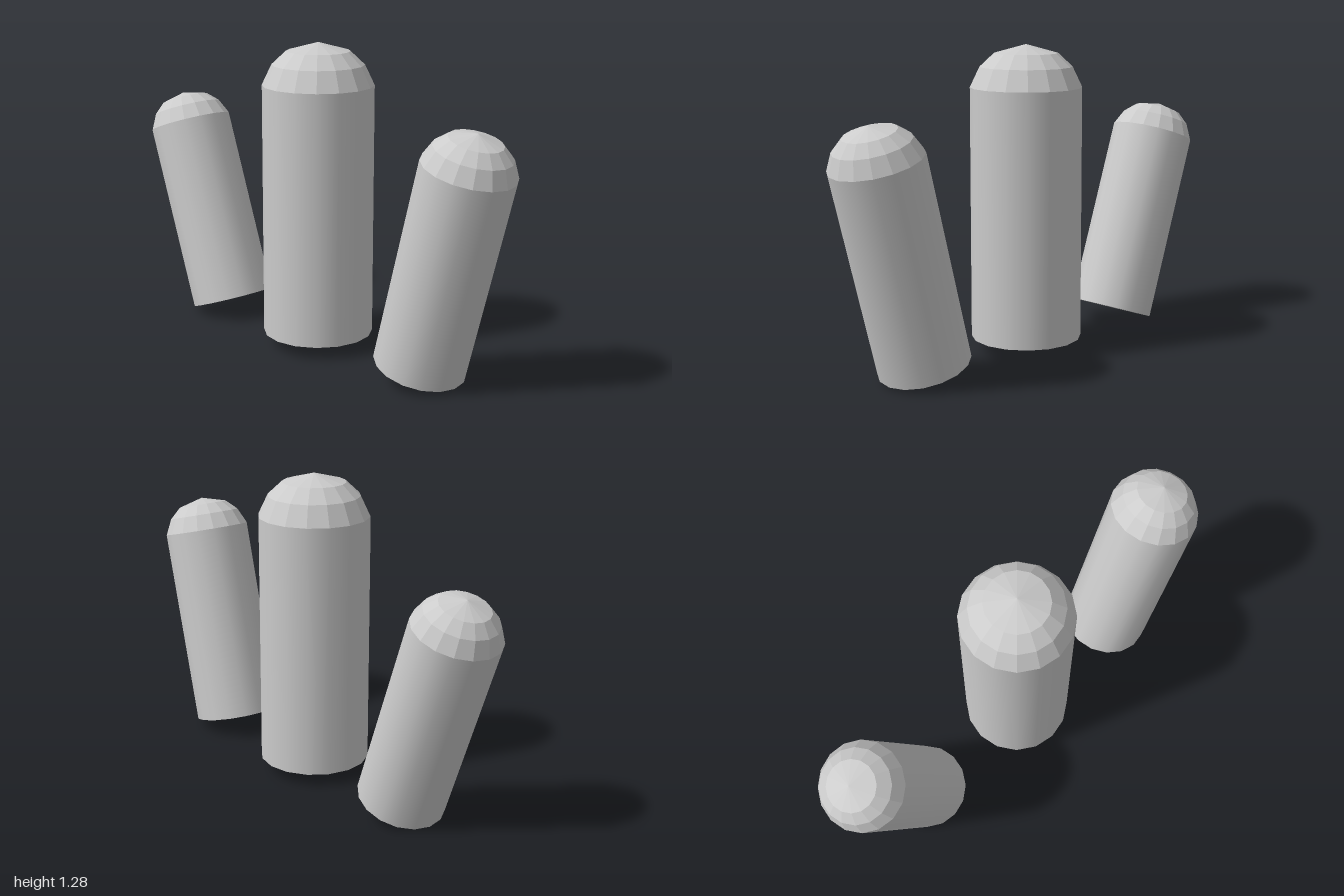
import * as THREE from 'three';

const SIDES = 16;
const RADIUS = 0.23;
const HEIGHT = 1.05;

// One post standing on its own origin: smooth shaft with a faceted, flattened dome
function createPost(name) {
  const post = new THREE.Group();
  post.name = name;

  const shaft = new THREE.Mesh(
    new THREE.CylinderGeometry(RADIUS, RADIUS, HEIGHT, SIDES),
    new THREE.MeshStandardMaterial({ color: 0xcccccc })
  );
  shaft.name = 'shaft';
  shaft.position.y = HEIGHT / 2;

  const profile = [[RADIUS, 0], [0.19, 0.084], [0.131, 0.139], [0, 0.175]]
    .map(([r, y]) => new THREE.Vector2(r, y));
  const dome = new THREE.Mesh(
    new THREE.LatheGeometry(profile, SIDES),
    new THREE.MeshStandardMaterial({ color: 0xcccccc, flatShading: true })
  );
  dome.name = 'dome';
  dome.position.y = HEIGHT;

  post.add(shaft, dome);
  return post;
}

export function createModel() {
  const model = new THREE.Group();
  model.name = 'posts';

  // Upright middle post flanked by two smaller posts leaning outwards
  const layout = [
    { name: 'middlePost', y: 0.065, z: 0.02, scale: 1, tilt: 0 },
    { name: 'frontPost', y: 0.07, z: 0.603, scale: 0.816, tilt: 15 },
    { name: 'backPost', y: 0.071, z: -0.547, scale: 0.785, tilt: -20 },
  ];
  for (const { name, y, z, scale, tilt } of layout) {
    const post = createPost(name);
    post.position.set(0, y, z);
    post.rotation.x = THREE.MathUtils.degToRad(tilt);
    post.scale.setScalar(scale);
    model.add(post);
  }
  return model;
}
